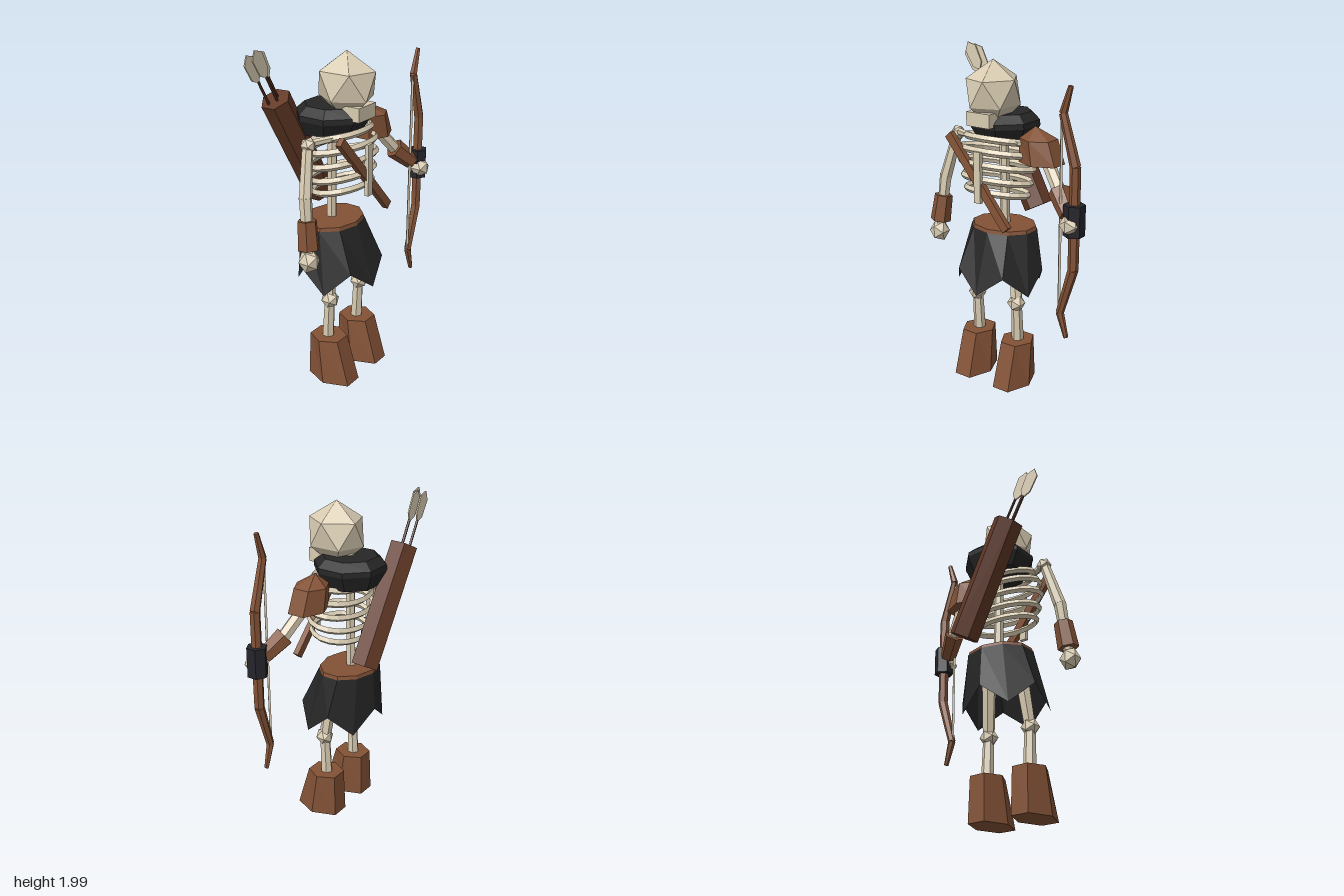
import * as THREE from 'three';

const mat = (name, color, extra = {}) => {
  const m = new THREE.MeshStandardMaterial({ color, flatShading: true, ...extra });
  m.name = name;
  return m;
};

const V = (x, y, z) => new THREE.Vector3(x, y, z);

// Faceted solid through rings [y, rx, rz, cx, cz], listed bottom to top.
// "twist" turns each ring by that many half steps; "dip" lowers single vertices.
function loft(rings, sides, { phase = 0, twist = 0, caps = true, dip = null } = {}) {
  const pos = [], idx = [];
  rings.forEach(([y, rx, rz, cx, cz], i) => {
    for (let j = 0; j < sides; j++) {
      const a = phase + ((j + twist * i * 0.5) / sides) * Math.PI * 2;
      const k = dip ? dip(i, j) : 0;
      pos.push(cx + Math.sin(a) * rx, y - k, cz + Math.cos(a) * rz);
    }
  });
  for (let i = 0; i < rings.length - 1; i++) {
    for (let j = 0; j < sides; j++) {
      const n = (j + 1) % sides, a = i * sides + j, b = i * sides + n;
      const c = b + sides, d = a + sides;
      idx.push(a, b, d, b, c, d);
    }
  }
  if (caps) {
    const last = rings.length - 1;
    [0, last].forEach((i) => {
      const [y, , , cx, cz] = rings[i];
      const c = pos.length / 3;
      pos.push(cx, y, cz);
      for (let j = 0; j < sides; j++) {
        const a = i * sides + j, b = i * sides + (j + 1) % sides;
        if (i) idx.push(c, a, b); else idx.push(c, b, a);
      }
    });
  }
  const g = new THREE.BufferGeometry();
  g.setAttribute('position', new THREE.Float32BufferAttribute(pos, 3));
  g.setIndex(idx);
  const flat = g.toNonIndexed();
  flat.computeVertexNormals();
  return flat;
}

export function createModel() {
  const root = new THREE.Group();
  root.name = 'skeletonArcher';
  const bone = mat('bone', 0xd9ccb2);
  const leather = mat('leather', 0x835236);
  const darkLeather = mat('darkLeather', 0x643927);
  const cloth = mat('blackCloth', 0x262627, { side: THREE.DoubleSide });
  const wrap = mat('gripWrap', 0x25252b);
  const feather = mat('feather', 0xdccfb6);
  const shaft = mat('arrowShaft', 0x5a3426);

  const add = (name, geo, material, parent = root) => {
    const m = new THREE.Mesh(geo, material);
    m.name = name;
    parent.add(m);
    return m;
  };
  // Tapered rod from a (radius ra) to b (radius rb)
  const rod = (name, a, b, ra, rb, material, sides = 6, parent = root) => {
    const dir = b.clone().sub(a);
    const m = add(name, new THREE.CylinderGeometry(rb, ra, dir.length(), sides), material, parent);
    m.position.copy(a).add(b).multiplyScalar(0.5);
    m.quaternion.setFromUnitVectors(V(0, 1, 0), dir.normalize());
    return m;
  };
  const knob = (name, p, r) => {
    const m = add(name, new THREE.IcosahedronGeometry(r, 0), bone);
    m.position.copy(p);
    return m;
  };
  const CX = -0.11;

  // Skull and jaw
  add('skull', loft([
    [1.645, 0.09, 0.1, CX, 0.095],
    [1.7, 0.146, 0.166, CX, 0.095],
  ], 5, { phase: -Math.PI / 2 }), bone);
  add('cranium', loft([
    [1.7, 0.146, 0.166, CX, 0.095],
    [1.85, 0.146, 0.166, CX, 0.095],
    [1.955, 0.001, 0.001, CX, 0.095],
  ], 5, { phase: -Math.PI / 2, twist: 1 }), bone);
  add('jaw', new THREE.BoxGeometry(0.16, 0.08, 0.16), bone).position.set(-0.115, 1.635, 0.155);

  // Scarf
  add('scarf', loft([
    [1.49, 0.17, 0.165, CX, -0.01],
    [1.58, 0.215, 0.213, CX, 0],
    [1.61, 0.213, 0.211, CX, 0],
    [1.655, 0.165, 0.16, CX, 0],
  ], 8, { phase: Math.PI / 8 }), cloth);

  // Spine, breastbone and ribs
  rod('spine', V(CX, 0.95, -0.01), V(CX, 1.66, 0), 0.03, 0.027, bone);
  add('breastbone', new THREE.BoxGeometry(0.045, 0.3, 0.025), bone).position.set(CX, 1.31, 0.245);
  const ribs = [[1.5, 0.2, 0.14], [1.43, 0.232, 0.16], [1.35, 0.24, 0.163], [1.265, 0.22, 0.16], [1.19, 0.2, 0.15]];
  for (const [y, rx, rz] of ribs) {
    const pts = [];
    for (let i = 0; i < 12; i++) {
      const a = (i / 12) * Math.PI * 2;
      pts.push(V(Math.sin(a) * rx, Math.cos(a) * 0.02, Math.cos(a) * rz));
    }
    const geo = new THREE.TubeGeometry(new THREE.CatmullRomCurve3(pts, true), 20, 0.015, 4, true);
    add('rib', geo.scale(1, 1.4, 1), bone).position.set(CX, y, 0.068);
  }
  rod('rightCollarbone', V(-0.41, 1.5, 0.05), V(-0.2, 1.52, 0.17), 0.022, 0.018, bone);
  rod('leftCollarbone', V(0.19, 1.5, 0.05), V(-0.02, 1.52, 0.17), 0.022, 0.018, bone);

  // Right arm
  knob('rightShoulder', V(-0.405, 1.495, 0.055), 0.045);
  rod('rightUpperArm', V(-0.41, 1.49, 0.055), V(-0.482, 1.22, 0.09), 0.03, 0.037, bone);
  rod('rightForearm', V(-0.482, 1.23, 0.09), V(-0.505, 0.92, 0.125), 0.037, 0.028, bone);
  rod('rightBracer', V(-0.505, 0.945, 0.125), V(-0.49, 1.105, 0.105), 0.062, 0.055, leather);
  knob('rightHand', V(-0.51, 0.878, 0.13), 0.062).scale.y = 1.12;

  // Left arm with shoulder guard
  add('shoulderGuard', loft([
    [1.405, 0.138, 0.105, 0.2, 0.066],
    [1.54, 0.11, 0.1, 0.175, 0.062],
    [1.605, 0.001, 0.001, 0.15, 0.055],
  ], 6), leather);
  rod('leftUpperArm', V(0.2, 1.47, 0.05), V(0.37, 1.265, 0.13), 0.037, 0.037, bone);
  rod('leftForearm', V(0.37, 1.265, 0.13), V(0.49, 1.145, 0.2), 0.03, 0.025, bone);
  rod('leftBracer', V(0.35, 1.285, 0.12), V(0.455, 1.185, 0.185), 0.062, 0.05, leather);
  knob('leftHand', V(0.49, 1.145, 0.222), 0.062);

  // Bow
  const bow = new THREE.Group();
  bow.name = 'bow';
  root.add(bow);
  const bowPath = [[0.5, 1.165, 0.031], [0.5, 1.46, 0.03], [0.42, 1.735, 0.023], [0.463, 1.88, 0.014]];
  for (const s of [1, -1]) {
    const p = bowPath.map(([x, y]) => V(x, 1.17 + s * (y - 1.17), 0.197));
    for (let i = 0; i < 3; i++) rod('bowLimb', p[i], p[i + 1], bowPath[i][2], bowPath[i + 1][2], leather, 6, bow);
  }
  rod('bowGrip', V(0.5, 1.08, 0.197), V(0.5, 1.255, 0.197), 0.06, 0.06, wrap, 6, bow);
  rod('bowString', V(0.412, 0.605, 0.197), V(0.412, 1.735, 0.197), 0.009, 0.009, bone, 4, bow);

  // Chest strap
  const strap = add('chestStrap', new THREE.BoxGeometry(0.05, 0.65, 0.035), leather);
  strap.position.set(-0.125, 1.28, 0.228);
  strap.rotation.set(-0.06, 0, 0.715);

  // Quiver and arrows
  rod('quiver', V(0.01, 1.05, -0.185), V(-0.345, 1.69, -0.212), 0.088, 0.088, darkLeather);
  const outline = [[0, -0.09], [0.036, -0.05], [0.042, 0.055], [0, 0.095], [-0.042, 0.055], [-0.036, -0.05]];
  const vane = new THREE.ExtrudeGeometry(
    new THREE.Shape(outline.map(([x, y]) => new THREE.Vector2(x, y))),
    { depth: 0.008, bevelEnabled: false },
  ).translate(0, 0, -0.004);
  for (const [x, y, z] of [[-0.505, 1.88, -0.225], [-0.475, 1.905, -0.195], [-0.438, 1.895, -0.212]]) {
    rod('arrowShaft', V(x + 0.16, y - 0.28, z), V(x + 0.04, y - 0.07, z), 0.008, 0.008, shaft, 5);
    const f = add('arrowFeather', vane, feather);
    f.position.set(x, y, z);
    f.rotation.z = 0.5;
  }

  // Belt and ragged skirt
  add('belt', loft([[0.945, 0.212, 0.168, CX, 0], [0.975, 0.205, 0.163, CX, 0]], 10), leather);
  add('skirt', loft([
    [0.72, 0.275, 0.235, CX, 0.05],
    [0.955, 0.213, 0.17, CX, 0],
  ], 10, { caps: false, dip: (i, j) => (i === 0 && j % 2 === 0 ? 0.125 : 0) }), cloth);
  rod('pelvis', V(-0.22, 0.88, 0.03), V(0, 0.88, 0.03), 0.04, 0.04, bone);

  // Legs and boots
  for (const s of [-1, 1]) {
    const side = s > 0 ? 'left' : 'right';
    const x = CX + s * 0.147;
    rod(side + 'Thigh', V(CX + s * 0.11, 0.9, 0.04), V(x, 0.51, 0.08), 0.045, 0.035, bone);
    knob(side + 'Knee', V(x, 0.515, 0.083), 0.055);
    rod(side + 'Shin', V(x, 0.51, 0.08), V(x, 0.2, 0.065), 0.032, 0.038, bone);
    add(side + 'Boot', loft([
      [0, 0.112, 0.165, x, 0.108],
      [0.272, 0.102, 0.113, x, 0.072],
    ], 6, { phase: Math.PI / 6 }), leather);
  }
  return root;
}
